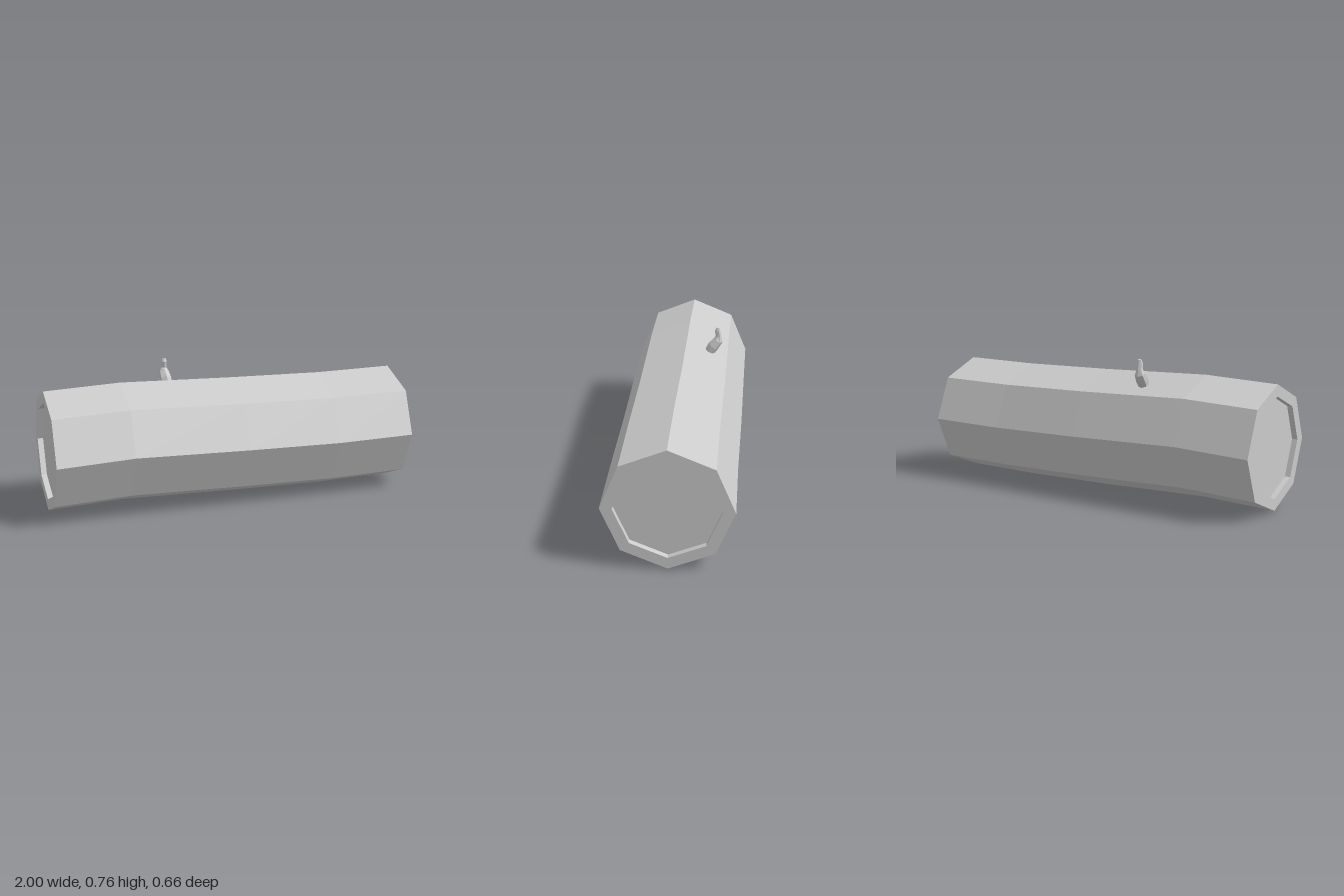
import * as THREE from 'three';

const material = new THREE.MeshStandardMaterial({ color: 0xcccccc, flatShading: true });

// Skin a series of rings (each an array of Vector3) and close both ends.
function loft(rings) {
  const n = rings[0].length;
  const last = (rings.length - 1) * n;
  const index = [];
  for (let i = 0; i < last; i += n) {
    for (let j = 0; j < n; j++) {
      const k = (j + 1) % n;
      index.push(i + j, i + k, i + n + j, i + k, i + n + k, i + n + j);
    }
  }
  for (let j = 1; j < n - 1; j++) {
    index.push(0, j + 1, j, last, last + j, last + j + 1);
  }
  const geometry = new THREE.BufferGeometry().setFromPoints(rings.flat());
  geometry.setIndex(index);
  const flat = geometry.toNonIndexed();
  flat.computeVertexNormals();
  return flat;
}

// Ring of points around a centre, spanned by the directions u and v.
function ring(centre, u, v, radius, sides) {
  return Array.from({ length: sides }, (_, j) => {
    const a = (j / sides) * Math.PI * 2;
    return centre.clone()
      .addScaledVector(u, radius * Math.cos(a))
      .addScaledVector(v, radius * Math.sin(a));
  });
}

function part(name, geometry) {
  const mesh = new THREE.Mesh(geometry, material);
  mesh.name = name;
  return mesh;
}

export function createModel() {
  const group = new THREE.Group();
  group.name = 'log';
  const X = new THREE.Vector3(1, 0, 0);
  const Y = new THREE.Vector3(0, 1, 0);
  const Z = new THREE.Vector3(0, 0, 1);

  // Gently bent eight-sided trunk with a shallow recess in each end: x, y, z, radius
  const trunk = [
    [-0.97, 0.339, -0.003, 0.266],
    [-1, 0.339, -0.003, 0.266],
    [-1, 0.339, -0.003, 0.328],
    [-0.59, 0.356, -0.003, 0.328],
    [0.04, 0.339, -0.003, 0.328],
    [0.56, 0.331, 0.001, 0.328],
    [1, 0.337, -0.002, 0.328],
    [1, 0.337, -0.002, 0.266],
    [0.97, 0.337, -0.002, 0.266],
  ].map(([x, y, z, r]) => ring(new THREE.Vector3(x, y, z), Y, Z, r, 8));
  group.add(part('trunk', loft(trunk)));

  // Small crooked twig: x, y, z, radius, lean towards the back
  const twig = [
    [-0.291, 0.59, -0.125, 0.028, 0.5],
    [-0.291, 0.622, -0.138, 0.029, 0.5],
    [-0.293, 0.65, -0.155, 0.033, 0.7],
    [-0.296, 0.685, -0.182, 0.028, 0.45],
    [-0.296, 0.712, -0.184, 0.016, -0.15],
    [-0.294, 0.745, -0.178, 0.015, -0.1],
    [-0.294, 0.762, -0.182, 0.009, 0.2],
  ].map(([x, y, z, r, lean]) => {
    const u = new THREE.Vector3(0, Math.sin(lean), Math.cos(lean));
    return ring(new THREE.Vector3(x, y, z), u, X, r, 6);
  });
  group.add(part('twig', loft(twig)));

  return group;
}
